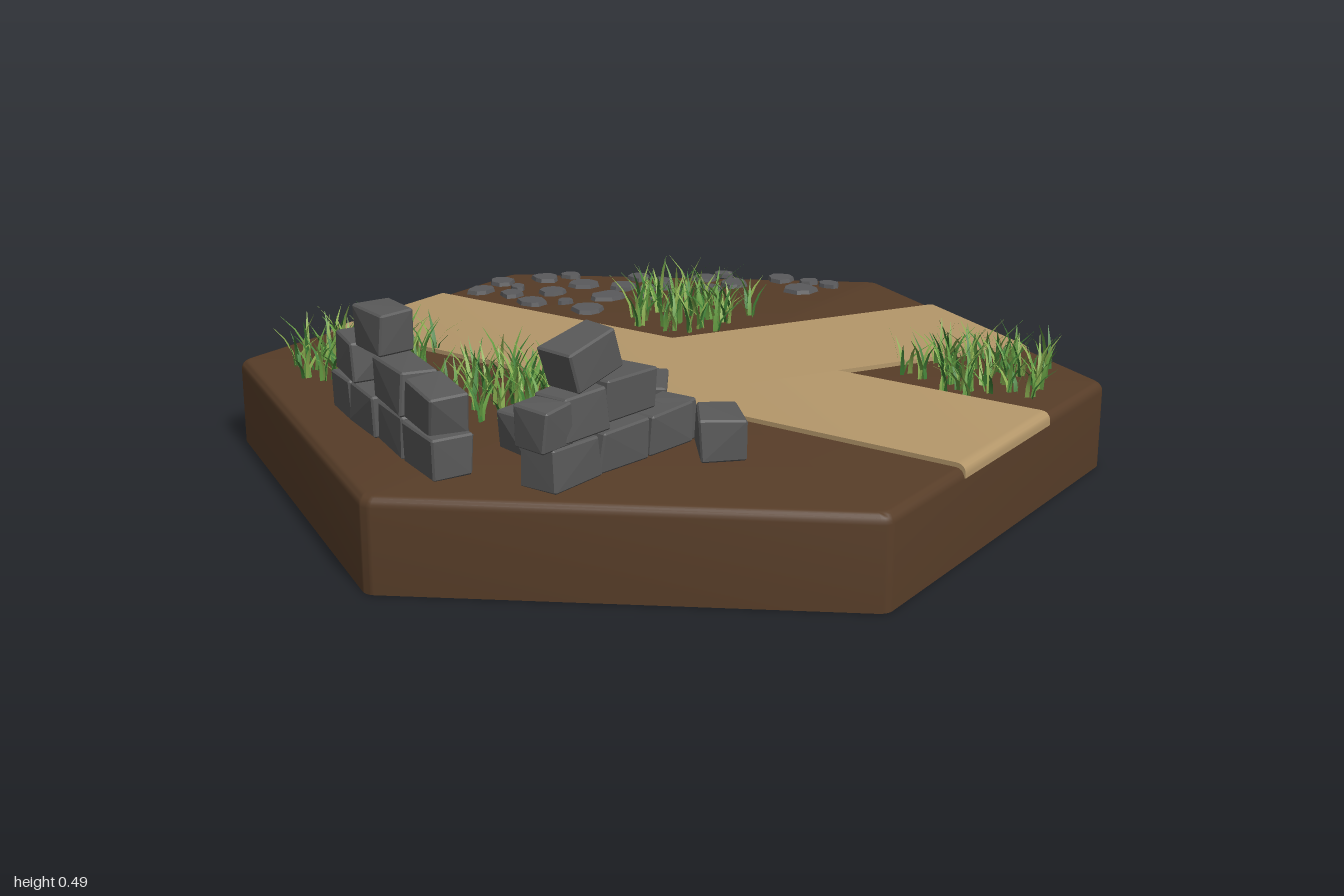
import * as THREE from 'three';
import { mergeGeometries, toCreasedNormals } from 'three/addons/utils/BufferGeometryUtils.js';
import { ConvexGeometry } from 'three/addons/geometries/ConvexGeometry.js';

const GROUND = 0.2;

function material(name, color, extra = {}) {
  const m = new THREE.MeshStandardMaterial({ color, ...extra });
  m.name = name;
  return m;
}

// Small seeded random generator
function seeded(seed) {
  return () => {
    seed = (seed * 1664525 + 1013904223) % 4294967296;
    return seed / 4294967296;
  };
}

function named(name, geometry, mat) {
  const mesh = new THREE.Mesh(geometry, mat);
  mesh.name = name;
  return mesh;
}

// Six-sided slab with a rounded upper rim and softly rounded corners
function slabGeometry() {
  const r = 0.022, q = 0.03, steps = 5;
  const pts = [new THREE.Vector2(0, 0), new THREE.Vector2(1, 0)];
  for (let i = 0; i <= 5; i++) {
    const a = (i / 5) * Math.PI / 2;
    pts.push(new THREE.Vector2(1 - r + r * Math.cos(a), GROUND - r + r * Math.sin(a)));
  }
  pts.push(new THREE.Vector2(0, GROUND));
  const g = new THREE.LatheGeometry(pts, 6 * steps);
  const pos = g.attributes.position;
  // Gather the columns of the lathe into an arc at each of the six corners
  for (let i = 0; i <= 6 * steps; i++) {
    const corner = Math.PI / 2 + Math.floor(i / steps) * Math.PI / 3;
    const arc = corner + ((i % steps) / (steps - 1) - 0.5) * Math.PI / 3;
    const c = 1 - q / Math.cos(Math.PI / 6);
    const x = c * Math.sin(corner) + q * Math.sin(arc);
    const z = c * Math.cos(corner) + q * Math.cos(arc);
    pts.forEach((p, j) => pos.setXYZ(i * pts.length + j, x * p.x, p.y, z * p.x));
  }
  return toCreasedNormals(g, 0.7);
}

// Road strip along z, its outer ends rounded over the rim
function roadGeometry(startsAtCentre) {
  const end = 0.868, low = 0.18, top = 0.21, r = 0.022;
  const s = new THREE.Shape();
  s.moveTo(startsAtCentre ? 0 : -end, low);
  s.lineTo(end, low);
  s.lineTo(end, top - r);
  s.quadraticCurveTo(end, top, end - r, top);
  if (startsAtCentre) {
    s.lineTo(0, top);
  } else {
    s.lineTo(-end + r, top);
    s.quadraticCurveTo(-end, top, -end, top - r);
  }
  const g = new THREE.ExtrudeGeometry(s, { depth: 0.4, bevelEnabled: false, curveSegments: 5 });
  g.rotateY(-Math.PI / 2);
  g.translate(0.2, 0, 0);
  return toCreasedNormals(g, 0.6);
}

// Roughly cut block: box corners nudged and slightly chamfered
function blockGeometry(w, h, d, rand) {
  const pts = [], c = 0.004;
  for (const sx of [-1, 1]) for (const sy of [-1, 1]) for (const sz of [-1, 1]) {
    const x = sx * (w / 2 - rand() * 0.014);
    const y = sy * (h / 2 - rand() * 0.005);
    const z = sz * (d / 2 - rand() * 0.01);
    pts.push(new THREE.Vector3(x - sx * c, y - sy * c, z));
    pts.push(new THREE.Vector3(x - sx * c, y, z - sz * c));
    pts.push(new THREE.Vector3(x, y - sy * c, z - sz * c));
  }
  return new ConvexGeometry(pts);
}

// Thin flat pebble with an uneven outline
function pebbleGeometry(radius, rand) {
  const pts = [], stretch = 0.75 + rand() * 0.25;
  for (let i = 0; i < 8; i++) {
    const a = (i + rand() * 0.5) / 8 * Math.PI * 2;
    const r = radius * (0.9 + rand() * 0.25);
    for (const [k, y] of [[1, 0.006], [0.92, 0.016]]) {
      pts.push(new THREE.Vector3(Math.cos(a) * r * k, y, Math.sin(a) * r * k * stretch));
    }
  }
  return new ConvexGeometry(pts);
}

// Tapered blade that curves over in direction a
function bladeGeometry(x, z, a, height, lean, width) {
  const pos = [], index = [];
  const dx = Math.cos(a), dz = Math.sin(a), rows = 3;
  for (let i = 0; i <= rows; i++) {
    const t = i / rows, out = lean * t * t, w = width / 2 * (1 - t * t * 0.97);
    const y = GROUND - 0.004 + height * (t - 0.12 * t * t);
    pos.push(x + dx * out - dz * w, y, z + dz * out + dx * w);
    pos.push(x + dx * out + dz * w, y, z + dz * out - dx * w);
    if (i < rows) {
      const k = i * 2;
      index.push(k, k + 2, k + 1, k + 1, k + 2, k + 3);
    }
  }
  const g = new THREE.BufferGeometry();
  g.setAttribute('position', new THREE.Float32BufferAttribute(pos, 3));
  g.setIndex(index);
  g.computeVertexNormals();
  return g;
}

function grassClump(cx, cz, mats, rand) {
  const clump = new THREE.Group();
  clump.name = 'grassClump';
  const sets = mats.map(() => []);
  // Small tufts spread over a disc, each with a fan of blades
  for (let t = 0; t < 32; t++) {
    const a = t * 2.39996, r = 0.165 * Math.sqrt((t + 0.5) / 32);
    const tx = cx + Math.cos(a) * r + (rand() - 0.5) * 0.05;
    const tz = cz + Math.sin(a) * r + (rand() - 0.5) * 0.05;
    for (let b = 0; b < 5; b++) {
      const dir = (b + rand()) / 5 * Math.PI * 2;
      sets[(t + b) % mats.length].push(bladeGeometry(
        tx + (rand() - 0.5) * 0.02, tz + (rand() - 0.5) * 0.02, dir,
        0.07 + rand() * 0.065, 0.025 + rand() * 0.05, 0.009 + rand() * 0.003));
    }
  }
  sets.forEach((s, i) => clump.add(named('grassBlades', mergeGeometries(s), mats[i])));
  return clump;
}

export function createModel() {
  const model = new THREE.Group();
  model.name = 'hexTile';
  const earth = material('earth', 0x573d28);
  const sand = material('sand', 0xb4976a);
  const stone = material('stone', 0x595959, { flatShading: true });
  const pebble = material('pebbleGrey', 0x5a5a5c, { flatShading: true });
  const greens = [
    material('deepGreen', 0x3f7d34, { side: THREE.DoubleSide }),
    material('freshGreen', 0x659c42, { side: THREE.DoubleSide }),
    material('paleGreen', 0x8aad50, { side: THREE.DoubleSide }),
  ];
  const rand = seeded(11);

  model.add(named('earthBase', slabGeometry(), earth));

  // Straight road with a branch to the front left side
  model.add(named('mainRoad', roadGeometry(false), sand));
  const branch = named('branchRoad', roadGeometry(true), sand);
  branch.rotation.y = Math.PI / 3;
  model.add(branch);

  // Adds one block: position, length, height, depth, turn and tilt
  const addBlock = (parent, x, y, z, w, h, d, turn, tilt = 0) => {
    const b = named('block', blockGeometry(w, h, d, rand), stone);
    b.position.set(x, y, z);
    b.rotation.set(0, turn, tilt);
    parent.add(b);
  };

  // Back ruin: [distance along wall, height, length, tilt, extra turn]
  const backWall = new THREE.Group();
  backWall.name = 'backWall';
  const backTurn = 1.14;
  for (const [t, y, w, tilt, turn] of [
    [0, 0.243, 0.15, 0, 0.03], [0.147, 0.243, 0.15, 0, -0.04], [0.29, 0.243, 0.145, 0, 0.02],
    [0.405, 0.243, 0.13, 0, -0.03], [0.005, 0.328, 0.135, 0.1, 0.04], [0.15, 0.336, 0.16, 0, -0.02],
    [0.385, 0.336, 0.145, 0, -0.08], [0.255, 0.425, 0.12, 0, 0.12],
  ]) {
    addBlock(backWall, -0.79 + t * Math.cos(backTurn), y, 0.01 - t * Math.sin(backTurn),
      w, 0.092, 0.096, backTurn + turn, tilt);
  }
  model.add(backWall);

  // Front ruin: [x, height, length, tilt, extra turn]
  const frontWall = new THREE.Group();
  frontWall.name = 'frontWall';
  for (const [x, y, w, tilt, turn] of [
    [-0.71, 0.243, 0.15, 0, 0.04], [-0.565, 0.243, 0.15, 0, -0.03], [-0.43, 0.243, 0.14, 0, 0.02],
    [-0.385, 0.243, 0.095, 0, 0.1], [-0.76, 0.328, 0.09, 0.05, 0.08], [-0.675, 0.337, 0.13, 0.04, -0.03],
    [-0.55, 0.345, 0.15, 0, 0.03], [-0.65, 0.437, 0.15, 0.22, 0],
  ]) {
    addBlock(frontWall, x, y, 0.25 + 0.1 * (x + 0.75), w, 0.092, 0.1, -0.12 + turn, tilt);
  }
  model.add(frontWall);

  // Fallen blocks
  const fallen = new THREE.Group();
  fallen.name = 'fallenBlocks';
  addBlock(fallen, -0.565, 0.245, 0.085, 0.165, 0.088, 0.095, -0.15, 0.08);
  addBlock(fallen, -0.29, 0.243, 0.155, 0.15, 0.09, 0.1, 0.55);
  addBlock(fallen, -0.39, 0.243, 0.41, 0.145, 0.09, 0.1, 0.7);
  model.add(fallen);

  // Pebble field: [x, z, radius]
  const pebbles = new THREE.Group();
  pebbles.name = 'pebbles';
  for (const [x, z, r] of [
    [0.27, -0.78, 0.038], [0.37, -0.79, 0.036], [0.29, -0.69, 0.034], [0.35, -0.72, 0.024],
    [0.47, -0.72, 0.039], [0.53, -0.68, 0.028], [0.26, -0.6, 0.038], [0.37, -0.62, 0.038],
    [0.48, -0.6, 0.039], [0.31, -0.53, 0.022], [0.29, -0.44, 0.045], [0.415, -0.47, 0.048],
    [0.52, -0.5, 0.037], [0.62, -0.52, 0.035], [0.625, -0.44, 0.032], [0.54, -0.43, 0.028],
    [0.55, -0.34, 0.033], [0.635, -0.3, 0.039], [0.715, -0.37, 0.035], [0.78, -0.35, 0.029],
    [0.715, -0.275, 0.04], [0.83, -0.2, 0.041], [0.765, -0.1, 0.047], [0.85, -0.06, 0.032],
    [0.845, -0.12, 0.026], [0.47, -0.38, 0.032], [0.575, -0.41, 0.024],
  ]) {
    const p = named('pebble', pebbleGeometry(r, rand), pebble);
    p.position.set(x, GROUND + 0.002, z);
    p.rotation.y = rand() * 6.28;
    pebbles.add(p);
  }
  model.add(pebbles);

  // Grass clumps
  for (const [x, z] of [[-0.36, -0.6], [-0.36, -0.15], [0.42, -0.22], [0.36, 0.63]]) {
    model.add(grassClump(x, z, greens, rand));
  }
  return model;
}
